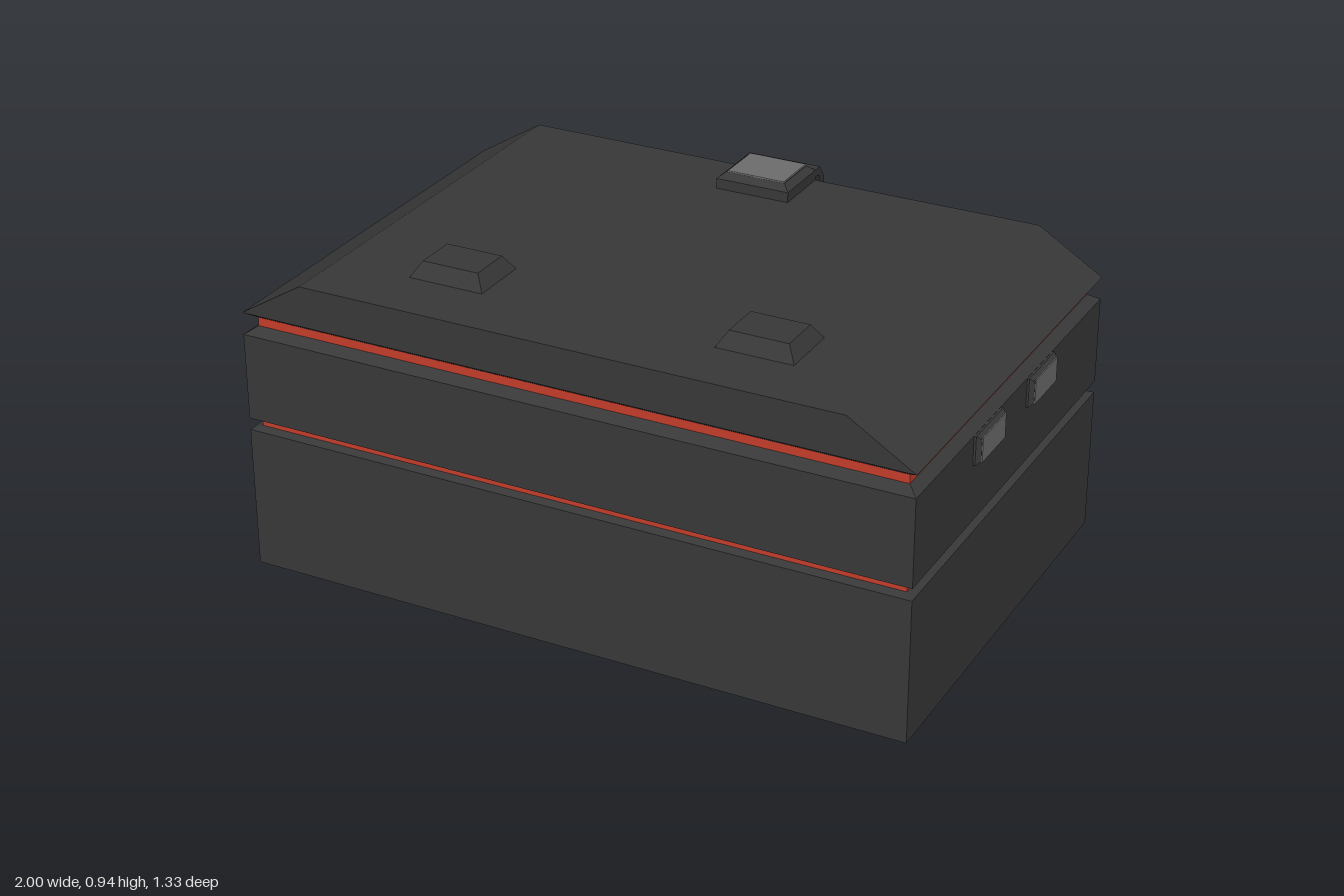
import * as THREE from 'three';

const mat = (name, color) => {
  const m = new THREE.MeshStandardMaterial({ color });
  m.name = name;
  return m;
};

// Stack of rectangles [x0, x1, z0, z1, y], joined by flat sides and capped
function loft(rows) {
  const pos = [];
  const corners = ([x0, x1, z0, z1, y]) => [[x0, y, z1], [x1, y, z1], [x1, y, z0], [x0, y, z0]];
  const quad = (a, b, c, d) => pos.push(...a, ...b, ...c, ...a, ...c, ...d);
  for (let i = 0; i < rows.length - 1; i++) {
    const a = corners(rows[i]), b = corners(rows[i + 1]);
    for (let k = 0; k < 4; k++) {
      const n = (k + 1) % 4;
      quad(a[k], a[n], b[n], b[k]);
    }
  }
  const lo = corners(rows[0]), hi = corners(rows[rows.length - 1]);
  quad(lo[3], lo[2], lo[1], lo[0]);
  quad(hi[0], hi[1], hi[2], hi[3]);
  const g = new THREE.BufferGeometry();
  g.setAttribute('position', new THREE.Float32BufferAttribute(pos, 3));
  g.computeVertexNormals();
  return g;
}

// Bevelled block standing on y = 0, narrowing by inset towards its top
const block = (w, d, h, inset, straight = 0) => {
  const r = (s, y) => [-w / 2 + s, w / 2 - s, -d / 2 + s, d / 2 - s, y];
  return loft(straight ? [r(0, 0), r(0, straight), r(inset, h)] : [r(0, 0), r(inset, h)]);
};

const outline = (pts) => new THREE.Shape(pts.map(([x, y]) => new THREE.Vector2(x, y)));

export function createModel() {
  const dark = mat('dark casing', 0x383838);
  const red = mat('red trim', 0xc43d2a);
  const grey = mat('grey plate', 0x6c6c6c);
  const white = mat('sign white', 0xd2d2d2);
  const black = mat('black', 0x151515);

  const model = new THREE.Group();
  const add = (name, geo, material, x = 0, y = 0, z = 0, parent = model) => {
    const m = new THREE.Mesh(geo, material);
    m.name = name;
    m.position.set(x, y, z);
    parent.add(m);
    return m;
  };

  // Case: body halves, red seams and lid, all on the same footprint
  const X = 0.98, ZF = 0.665, ZB = -0.602;
  const row = (s, y) => [-X + s, X - s, ZB + s, ZF - s, y];
  add('lowerBody', loft([row(0, 0), row(0, 0.417), row(0.025, 0.424)]), dark);
  add('lowerSeam', loft([row(0.025, 0.424), row(0.025, 0.444)]), red);
  add('upperBody', loft([row(0.025, 0.444), row(0, 0.452), row(0, 0.705), row(0.03, 0.725)]), dark);
  add('lidSeam', loft([row(0.03, 0.725), row(0.03, 0.75)]), red);
  add('lid', loft([row(0.03, 0.75), row(0, 0.77), [-0.79, 0.79, ZB, ZF, 0.887]]), dark);

  // Raised feet on the lid
  for (const s of [-1, 1]) add('lidFoot', block(0.225, 0.18, 0.045, 0.028), dark, s * 0.452, 0.885, 0.393);

  // Two grey-faced clasps on each side
  for (const s of [-1, 1]) {
    for (const z of [0.21, -0.15]) {
      const clasp = new THREE.Group();
      clasp.name = 'sideClasp';
      clasp.position.set(s * (X - 0.002), 0.662, z);
      clasp.rotation.z = -s * Math.PI / 2;
      add('claspFrame', block(0.084, 0.18, 0.02, 0.011, 0.008), dark, 0, 0, 0, clasp);
      add('claspPlate', block(0.072, 0.156, 0.003, 0.001), grey, 0, 0.019, 0, clasp);
      model.add(clasp);
    }
  }

  // Back latch: cap on the lid, with a strap bent down the back
  const latch = new THREE.Group();
  latch.name = 'backLatch';
  model.add(latch);
  add('latchCap', block(0.222, 0.182, 0.047, 0.02, 0.03), dark, 0, 0.887, -0.513, latch);
  add('latchCapPlate', block(0.178, 0.148, 0.004, 0.002), grey, 0, 0.933, -0.516, latch);

  const strap = new THREE.ExtrudeGeometry(outline([
    [-0.595, 0.918], [-0.632, 0.918], [-0.662, 0.878], [-0.662, 0.824], [-0.655, 0.815],
    [-0.655, 0.676], [-0.662, 0.667], [-0.662, 0.617], [-0.655, 0.607], [-0.666, 0.565],
    [-0.652, 0.514], [-0.632, 0.504], [-0.613, 0.468], [-0.602, 0.488], [-0.64, 0.59],
    [-0.64, 0.866], [-0.625, 0.895], [-0.595, 0.897],
  ]), { depth: 0.222, bevelEnabled: false });
  strap.translate(0, 0, -0.111).rotateY(-Math.PI / 2);
  add('latchStrap', strap, dark, 0, 0, 0, latch);

  // Thin flat plates facing backwards
  const plate = (pts, t = 0.004) =>
    new THREE.ExtrudeGeometry(outline(pts), { depth: t, bevelEnabled: false }).rotateY(Math.PI);
  const rect = (w, h) => [[-w / 2, -h / 2], [w / 2, -h / 2], [w / 2, h / 2], [-w / 2, h / 2]];
  const cut = (w, h, c) => [
    [-w / 2 + c, -h / 2], [w / 2 - c, -h / 2], [w / 2, -h / 2 + c], [w / 2, h / 2 - c],
    [w / 2 - c, h / 2], [-w / 2 + c, h / 2], [-w / 2, h / 2 - c], [-w / 2, -h / 2 + c],
  ];
  for (const y of [0.849, 0.642]) add('latchPad', plate(cut(0.185, 0.062, 0.016)), red, 0, y, -0.661, latch);

  // Grille between the pads
  add('grilleBack', plate(rect(0.18, 0.125), 0.002), black, 0, 0.745, -0.6545, latch);
  for (let i = 0; i < 5; i++) add('grilleBar', plate(rect(0.012, 0.125), 0.004), dark, -0.084 + i * 0.042, 0.745, -0.655, latch);
  for (let i = 0; i < 4; i++) add('grilleRung', plate(rect(0.18, 0.012), 0.005), dark, 0, 0.689 + i * 0.0375, -0.655, latch);
  for (const s of [-1, 1]) add('grilleEdge', plate(rect(0.014, 0.125), 0.006), grey, s * 0.086, 0.745, -0.655, latch);

  // Warning triangle on the back
  const sign = new THREE.Group();
  sign.name = 'warningSign';
  sign.position.set(0, 0.11, ZB);
  model.add(sign);
  add('signBorder', plate([[-0.157, 0], [0.157, 0], [0, 0.265]], 0.003), red, 0, 0, 0, sign);
  add('signField', plate([
    [-0.076, 0.043], [0.076, 0.043], [0.086, 0.06], [0.02, 0.195], [-0.02, 0.195], [-0.086, 0.06],
  ], 0.002), white, 0, 0, -0.003, sign);
  add('signMark', plate([[-0.009, 0.088], [0.009, 0.088], [0.018, 0.165], [0.008, 0.175], [-0.008, 0.175], [-0.018, 0.165]], 0.001),
    black, 0, 0, -0.005, sign);
  add('signDot', plate(cut(0.024, 0.022, 0.006), 0.001), black, 0, 0.066, -0.005, sign);

  return model;
}
